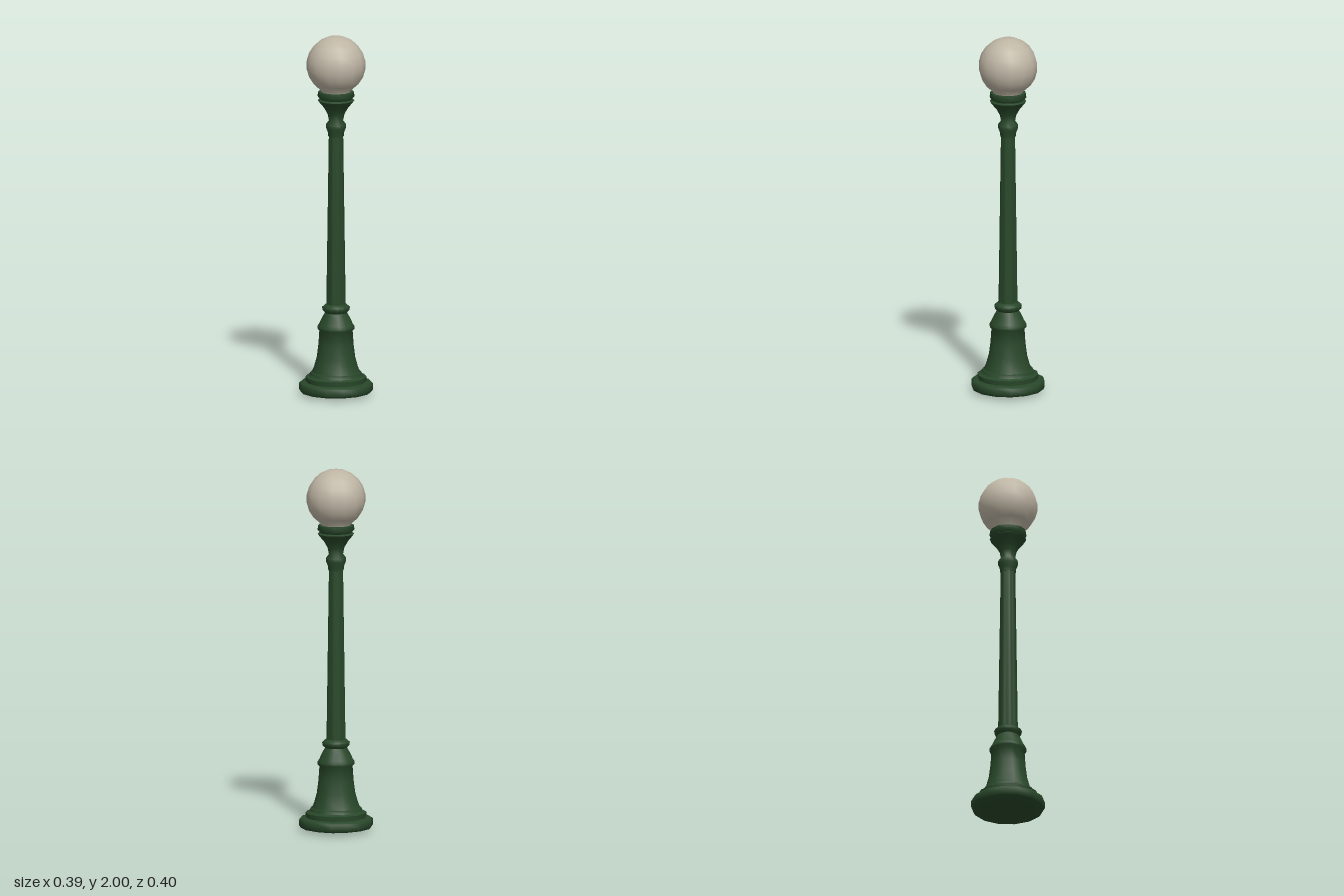
import * as THREE from 'three';
import { toCreasedNormals } from 'three/addons/utils/BufferGeometryUtils.js';

const green = new THREE.MeshStandardMaterial({ color: 0x284729 });
green.name = 'dark green iron';
const cream = new THREE.MeshStandardMaterial({ color: 0xbeb5a4 });
cream.name = 'cream glass';

// Turned part from [radius, height] pairs, listed bottom to top
function turned(name, profile, sides, material, crease = 1.0) {
  const points = profile.map(([r, y]) => new THREE.Vector2(r, y));
  const geometry = toCreasedNormals(new THREE.LatheGeometry(points, sides), crease);
  const mesh = new THREE.Mesh(geometry, material);
  mesh.name = name;
  return mesh;
}

// Tapered column with shallow flutes cut around it
function flutedShaft(y0, y1, r0, r1, flutes) {
  const outline = [];
  for (let i = 0; i < flutes * 4; i++) {
    const a = (i / (flutes * 4)) * Math.PI * 2;
    const r = i % 4 < 2 ? 1 : 0.93;
    outline.push(new THREE.Vector2(Math.cos(a) * r, Math.sin(a) * r));
  }
  const geometry = new THREE.ExtrudeGeometry(new THREE.Shape(outline), { depth: 1, bevelEnabled: false });
  geometry.rotateX(-Math.PI / 2);
  const p = geometry.attributes.position;
  for (let i = 0; i < p.count; i++) {
    const t = p.getY(i);
    const r = THREE.MathUtils.lerp(r0, r1, t);
    p.setXYZ(i, p.getX(i) * r, THREE.MathUtils.lerp(y0, y1, t), p.getZ(i) * r);
  }
  const mesh = new THREE.Mesh(toCreasedNormals(geometry, 0.8), green);
  mesh.name = 'flutedShaft';
  return mesh;
}

export function createModel() {
  const lamp = new THREE.Group();
  lamp.name = 'streetLamp';

  // Stepped foot
  lamp.add(turned('foot', [
    [0, 0], [0.15, 0.008], [0.194, 0.017], [0.202, 0.03], [0.202, 0.062],
    [0.194, 0.07], [0.165, 0.074], [0.167, 0.1], [0.145, 0.107], [0.14, 0.125], [0.122, 0.13],
  ], 14, green));

  // Flared pedestal with its moulded collars
  lamp.add(turned('pedestal', [
    [0.135, 0.12], [0.12, 0.155], [0.105, 0.21], [0.096, 0.28], [0.091, 0.355],
    [0.102, 0.368], [0.102, 0.38], [0.092, 0.395], [0.076, 0.43], [0.06, 0.458],
    [0.074, 0.472], [0.076, 0.488], [0.056, 0.505], [0, 0.508],
  ], 14, green));

  lamp.add(flutedShaft(0.495, 1.45, 0.054, 0.04, 8));

  // Neck ring and flared cup with a grooved rim
  lamp.add(turned('capital', [
    [0, 1.44], [0.042, 1.44], [0.045, 1.465], [0.055, 1.49], [0.055, 1.508],
    [0.039, 1.53], [0.046, 1.565], [0.066, 1.6], [0.09, 1.628], [0.1, 1.642],
    [0.088, 1.65], [0.101, 1.665], [0.098, 1.69], [0.078, 1.692], [0, 1.688],
  ], 14, green));

  // Glass globe, narrowing to a short neck inside the cup
  const globe = [[0.078, 1.675], [0.086, 1.703]];
  const start = -1.0;
  for (let i = 0; i <= 9; i++) {
    const a = THREE.MathUtils.lerp(start, Math.PI / 2, i / 9);
    globe.push([Math.max(0, 0.162 * Math.cos(a)), 1.838 + 0.162 * Math.sin(a)]);
  }
  lamp.add(turned('globe', globe, 14, cream, 1.2));

  return lamp;
}
